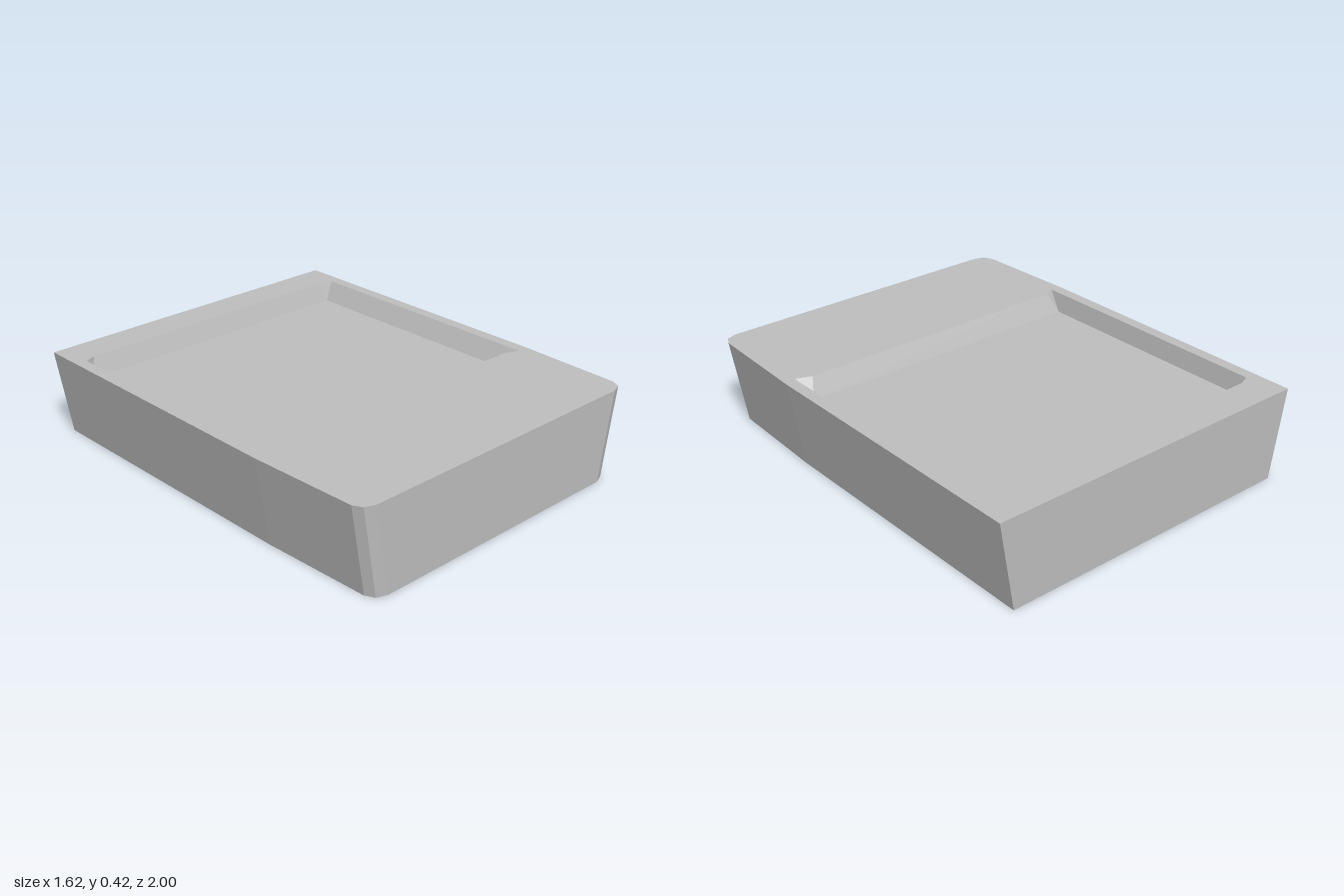
import * as THREE from 'three';

const HEIGHT = 0.42, FLOOR = 0.33;

// Flat-shaded wall between two matching rings of [x, z] points
function wall(top, topY, bottom, bottomY) {
  const pos = [];
  const same = (p, q) => p[0] === q[0] && p[1] === q[1];
  top.forEach((a, i) => {
    const j = (i + 1) % top.length;
    const b = top[j], c = bottom[j], d = bottom[i];
    pos.push(a[0], topY, a[1], b[0], topY, b[1], c[0], bottomY, c[1]);
    if (!same(c, d)) pos.push(a[0], topY, a[1], c[0], bottomY, c[1], d[0], bottomY, d[1]);
  });
  const geo = new THREE.BufferGeometry();
  geo.setAttribute('position', new THREE.Float32BufferAttribute(pos, 3));
  geo.computeVertexNormals();
  return geo;
}

// Horizontal face, looking up or down, with an optional hole
function plate(ring, y, { hole, down = false } = {}) {
  const s = down ? 1 : -1;
  const pts = r => r.map(([x, z]) => new THREE.Vector2(x, s * z));
  const shape = new THREE.Shape(pts(ring));
  if (hole) shape.holes.push(new THREE.Path(pts(hole)));
  return new THREE.ShapeGeometry(shape).rotateX(s * Math.PI / 2).translate(0, y, 0);
}

export function createModel() {
  const group = new THREE.Group();
  const grey = new THREE.MeshStandardMaterial({ color: 0xbfbfbf });
  const add = (name, geo) => {
    const mesh = new THREE.Mesh(geo, grey);
    mesh.name = name;
    group.add(mesh);
  };

  // Outline: square at the back, tapered with clipped corners at the front
  const side = [[0.81, -1], [0.81, 0.42], [0.79, 0.94], [0.768, 0.982], [0.72, 1]];
  const rim = [...side, ...side.map(([x, z]) => [-x, z]).reverse()];
  const base = rim.map(([x, z]) => [x - 0.07 * Math.sign(x), z]);

  // Recess: mouth with cut corners and a rectangular floor
  const mouth = [
    [0.755, 0.44], [0.755, -0.815], [0.68, -0.838], [-0.7, -0.838],
    [-0.755, -0.815], [-0.755, 0.44], [-0.7, 0.412], [0.68, 0.412],
  ];
  const [fr, br, bl, fl] = [[0.71, 0.367], [0.71, -0.805], [-0.738, -0.805], [-0.738, 0.367]];

  add('outerWalls', wall(rim, HEIGHT, base, 0));
  add('underside', plate(base, 0, { down: true }));
  add('topRim', plate(rim, HEIGHT, { hole: mouth }));
  add('recessWalls', wall(mouth, HEIGHT, [fr, br, br, bl, bl, fl, fl, fr], FLOOR));
  add('recessFloor', plate([fr, br, bl, fl], FLOOR));
  return group;
}
